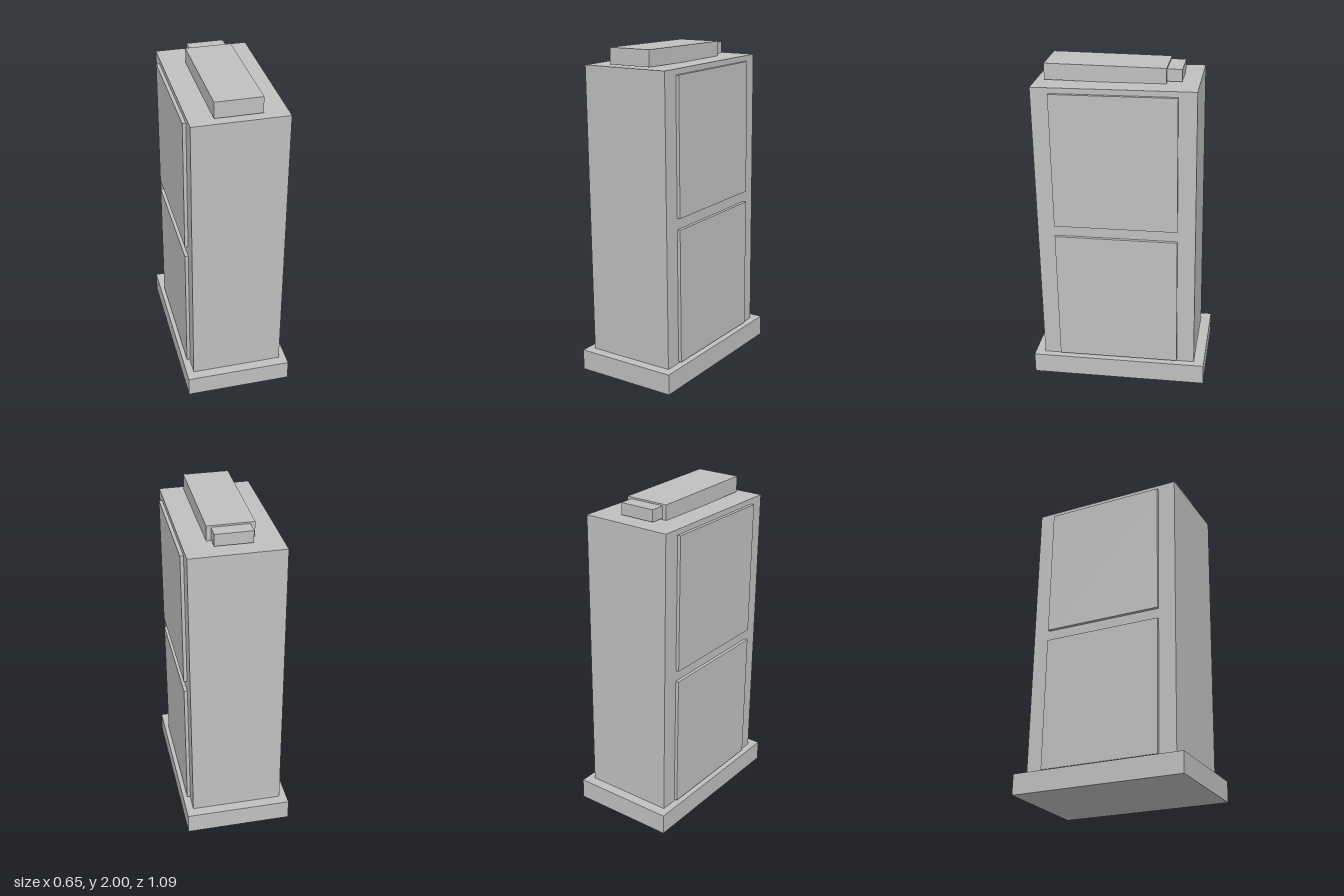
import * as THREE from 'three';

export function createModel() {
  const grey = new THREE.MeshStandardMaterial({ color: 0xc0c0c0 });
  grey.name = 'light grey';

  // Box given by its lower and upper limits on each axis
  const box = (parent, name, [x0, x1], [y0, y1], [z0, z1]) => {
    const mesh = new THREE.Mesh(new THREE.BoxGeometry(x1 - x0, y1 - y0, z1 - z0), grey);
    mesh.name = name;
    mesh.position.set((x0 + x1) / 2, (y0 + y1) / 2, (z0 + z1) / 2);
    parent.add(mesh);
  };

  const model = new THREE.Group();
  model.name = 'cabinet';

  // Plinth, body and side panels lean forward by one degree
  const leaning = new THREE.Group();
  leaning.name = 'leaningCabinet';
  leaning.rotation.x = THREE.MathUtils.degToRad(1);
  model.add(leaning);
  box(leaning, 'plinth', [-0.325, 0.325], [0.0095, 0.137], [-0.544, 0.541]);
  box(leaning, 'body', [-0.28, 0.28], [0.137, 1.905], [-0.48, 0.48]);

  // Two raised panels on each side
  for (const side of [-1, 1]) {
    const x = side > 0 ? [0.28, 0.3] : [-0.3, -0.28];
    const label = side > 0 ? 'left' : 'right';
    box(leaning, label + 'UpperPanel', x, [1.045, 1.872], [-0.373, 0.373]);
    box(leaning, label + 'LowerPanel', x, [0.148, 0.976], [-0.373, 0.373]);
  }

  // Level unit on the roof with a smaller block behind it
  box(model, 'roofUnit', [-0.138, 0.138], [1.903, 2], [-0.255, 0.46]);
  box(model, 'roofUnitBlock', [-0.111, 0.111], [1.918, 1.99], [-0.343, -0.255]);

  return model;
}
